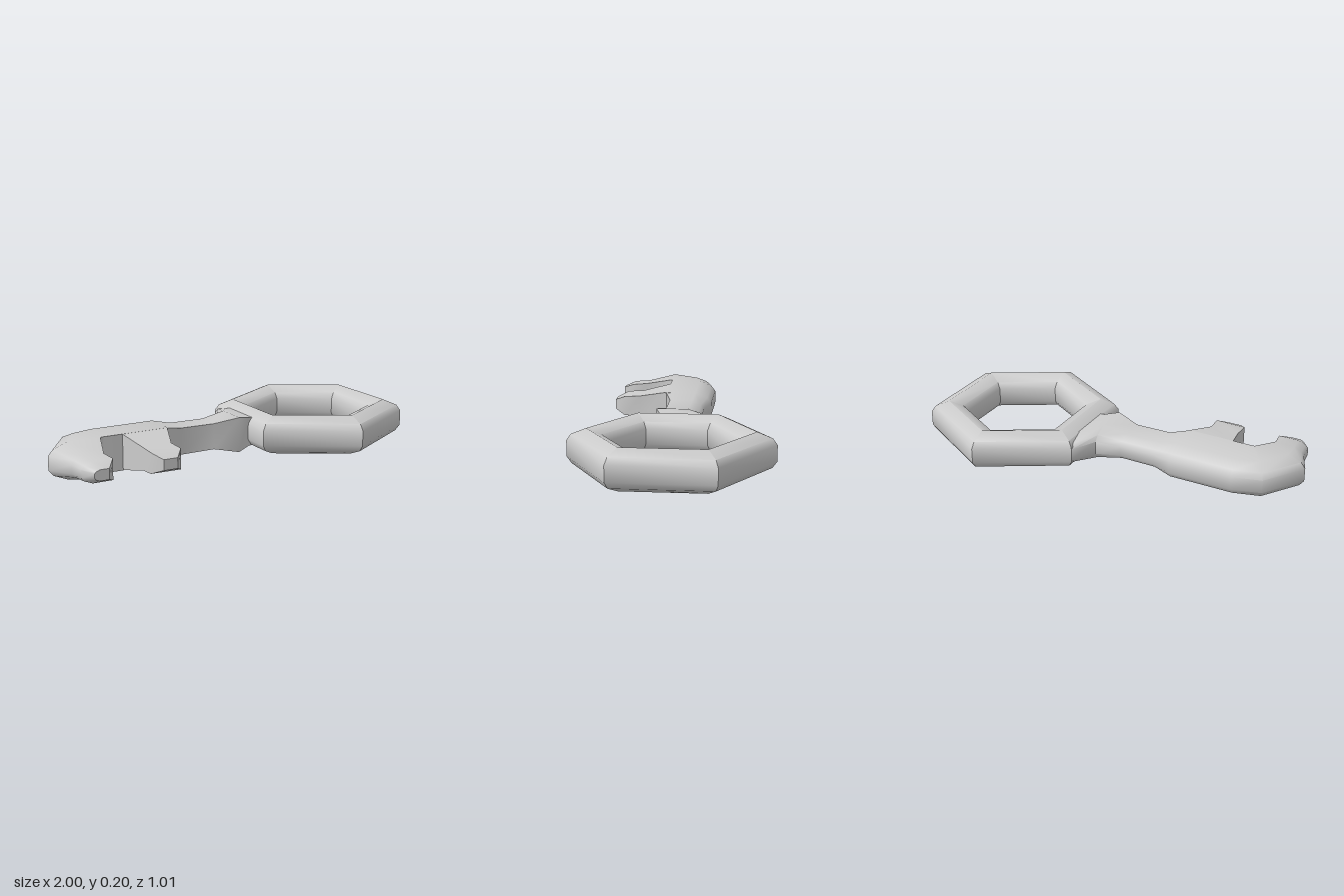
import * as THREE from 'three';
import { toCreasedNormals } from 'three/addons/utils/BufferGeometryUtils.js';

const MID = 0.1025; // mid-height of the whole key
const material = new THREE.MeshStandardMaterial({ color: 0xcccccc });

// Cross-sections as [t, k]: t runs from the right edge (0) to the left edge (1), k scales the half height
const ROUND_BACK = [[0, -1], [0, 1], [0.65, 1], [0.91, 0.7], [1, 0.38], [1, -0.38], [0.91, -0.7], [0.65, -1]];
const BOX = [[0, -1], [0, 1], [1, 1], [1, -1]];

// Lofts a section through stations [xLeft, zLeft, xRight, zRight, halfHeight] and caps both ends
function loft(stations, section) {
  const n = section.length, pos = [], idx = [];
  for (const [xl, zl, xr, zr, h] of stations)
    for (const [t, k] of section)
      pos.push(xr + (xl - xr) * t, MID + k * h, zr + (zl - zr) * t);
  for (let i = 0; i < stations.length - 1; i++)
    for (let j = 0; j < n; j++) {
      const a = i * n + j, b = i * n + (j + 1) % n;
      idx.push(a, b, a + n, b, b + n, a + n);
    }
  const end = (stations.length - 1) * n;
  for (let j = 1; j < n - 1; j++) idx.push(0, j + 1, j, end, end + j, end + j + 1);
  const geo = new THREE.BufferGeometry();
  geo.setAttribute('position', new THREE.Float32BufferAttribute(pos, 3));
  geo.setIndex(idx);
  return geo;
}

function addPart(group, name, geometry) {
  const mesh = new THREE.Mesh(toCreasedNormals(geometry, 0.8), material);
  mesh.name = name;
  group.add(mesh);
  return mesh;
}

export function createModel() {
  const key = new THREE.Group();
  key.name = 'key';

  // Hexagonal ring handle: a rounded section turned in six steps
  const quarter = [[0.098, 0.04], [0.075, 0.072], [0, 0.1025]];
  const profile = [];
  for (const [r, y] of quarter) profile.push([r, y]);
  for (const [r, y] of quarter.slice(0, 2).reverse()) profile.push([-r, y]);
  for (const [r, y] of quarter) profile.push([-r, -y]);
  for (const [r, y] of quarter.slice(0, 2).reverse()) profile.push([r, -y]);
  profile.push(profile[0]);
  const ring = new THREE.LatheGeometry(profile.map(([r, y]) => new THREE.Vector2(0.409 + r, y)), 6);
  addPart(key, 'ringHandle', ring).position.set(0.56, MID, 0);

  // Shaft, which turns the corner at its tip and becomes the end tooth
  addPart(key, 'shaftAndEndTooth', loft([
    [0.2, -0.25, 0.2, 0.1, 0.07],
    [0.125, -0.255, 0.125, 0.1, 0.076],
    [0.05, -0.127, 0.05, 0.13, 0.0925],
    [-0.08, -0.096, -0.08, 0.092, 0.068],
    [-0.27, -0.096, -0.27, 0.092, 0.07],
    [-0.37, -0.127, -0.37, 0.125, 0.0925],
    [-0.71, -0.127, -0.71, 0.125, 0.0925],
    [-0.86, -0.085, -0.72, 0.125, 0.0925],
    [-1, 0.125, -0.73, 0.13, 0.0925],
    [-0.94, 0.27, -0.78, 0.28, 0.058],
    [-0.93, 0.36, -0.77, 0.36, 0.053],
    [-0.89, 0.42, -0.815, 0.42, 0.027],
  ], ROUND_BACK));

  // Inner tooth
  addPart(key, 'innerTooth', loft([
    [-0.61, 0.1, -0.36, 0.1, 0.092],
    [-0.61, 0.125, -0.365, 0.125, 0.092],
    [-0.575, 0.275, -0.42, 0.275, 0.058],
    [-0.575, 0.36, -0.415, 0.365, 0.053],
    [-0.535, 0.42, -0.46, 0.42, 0.027],
  ], BOX));

  return key;
}
